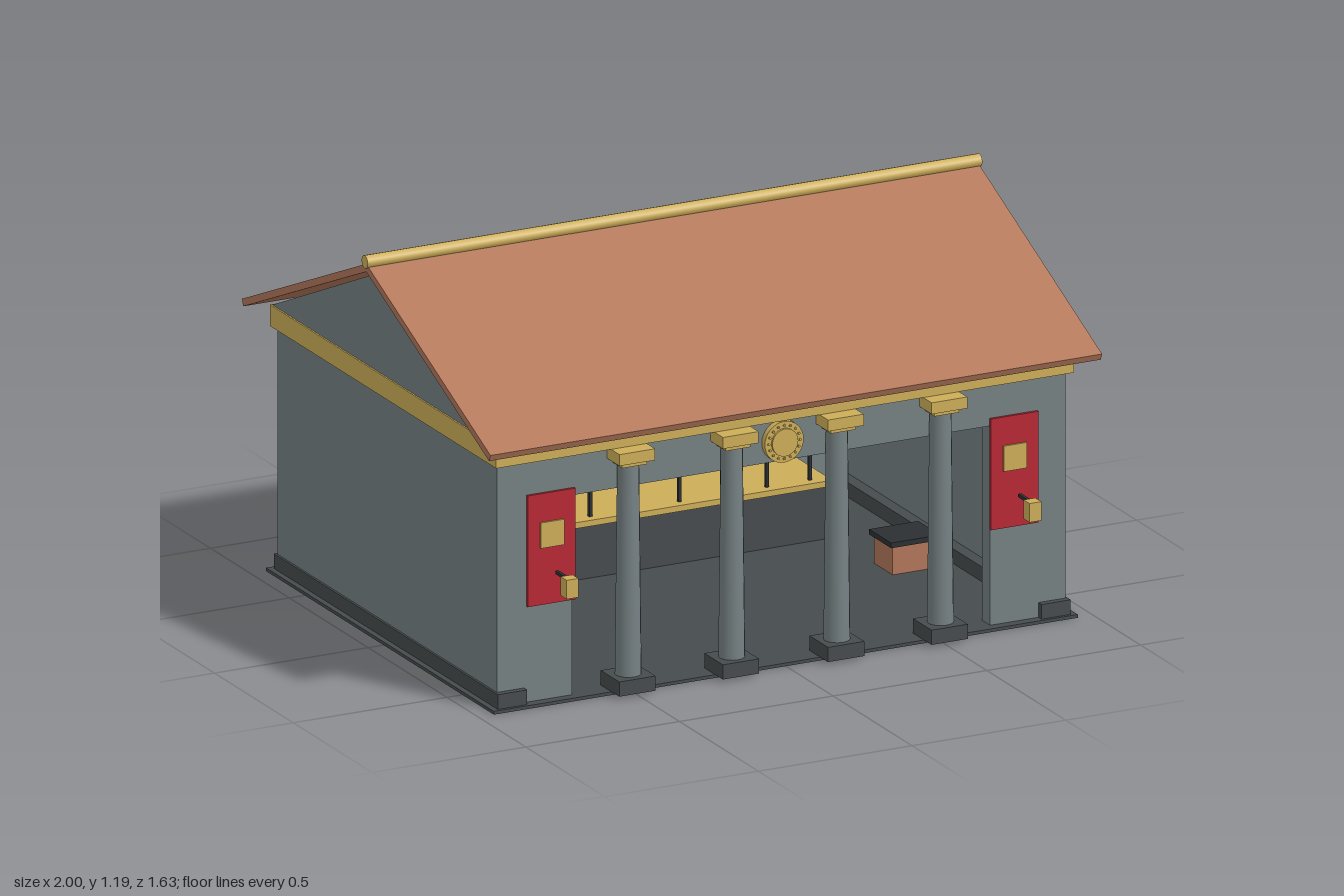
import * as THREE from 'three';

const mat = (name, color) => {
  const m = new THREE.MeshStandardMaterial({ color });
  m.name = name;
  return m;
};

export function createModel() {
  const model = new THREE.Group();
  model.name = 'treasuryHall';
  const stone = mat('grey stone', 0x768183);
  const dark = mat('dark stone', 0x464b4d);
  const iron = mat('black iron', 0x2b2f32);
  const gold = mat('gold', 0xcdae58);
  const clay = mat('terracotta', 0xb3775a);
  const red = mat('red cloth', 0xb92834);

  const add = (name, geometry, material, x = 0, y = 0, z = 0) => {
    const mesh = new THREE.Mesh(geometry, material);
    mesh.name = name;
    mesh.position.set(x, y, z);
    model.add(mesh);
    return mesh;
  };
  // box given by its lower and upper limits on each axis
  const box = (name, material, x0, x1, y0, y1, z0, z1) =>
    add(name, new THREE.BoxGeometry(x1 - x0, y1 - y0, z1 - z0), material,
      (x0 + x1) / 2, (y0 + y1) / 2, (z0 + z1) / 2);
  // disc whose axis runs along z
  const disc = (name, material, r, depth, x, y, z, sides = 32) => {
    const g = new THREE.CylinderGeometry(r, r, depth, sides);
    g.rotateX(Math.PI / 2);
    return add(name, g, material, x, y, z);
  };

  // floor, back wall, header over the open front
  box('floor', dark, -0.95, 0.95, 0, 0.01, -0.745, 0.70);
  box('backWall', stone, -0.925, 0.925, 0.01, 0.75, -0.72, -0.67);
  box('header', stone, -0.68, 0.68, 0.62, 0.75, 0.62, 0.67);
  box('entablature', gold, -0.94, 0.94, 0.75, 0.815, -0.74, 0.695);

  // gabled attic
  const tri = new THREE.Shape();
  tri.moveTo(-0.69, 0.815);
  tri.lineTo(0.735, 0.815);
  tri.lineTo(0.022, 1.135);
  tri.closePath();
  const attic = new THREE.ExtrudeGeometry(tri, { depth: 1.87, bevelEnabled: false });
  attic.rotateY(Math.PI / 2);
  add('gable', attic, stone, -0.935, 0, 0);

  // roof slopes and ridge
  const pitch = Math.atan2(0.346, 0.787);
  for (const s of [1, -1]) {
    const slope = add('roofSlope', new THREE.BoxGeometry(1.99, 0.022, 0.86), clay,
      0, 0.983, -0.022 + s * 0.39);
    slope.rotation.x = s * pitch;
  }
  const ridge = new THREE.CylinderGeometry(0.02, 0.02, 2, 12);
  ridge.rotateZ(Math.PI / 2);
  add('ridge', ridge, gold, 0, 1.173, -0.022);

  // columns with plinths and stepped capitals
  for (const x of [-0.508, -0.171, 0.171, 0.508]) {
    box('columnBase', dark, x - 0.059, x + 0.059, 0.01, 0.055, 0.631, 0.749);
    add('columnShaft', new THREE.CylinderGeometry(0.032, 0.039, 0.65, 16), stone, x, 0.38, 0.69);
    box('capitalNeck', gold, x - 0.04, x + 0.04, 0.70, 0.716, 0.65, 0.73);
    box('capital', gold, x - 0.058, x + 0.058, 0.715, 0.75, 0.632, 0.748);
  }

  // medallion over the entrance
  disc('medallion', gold, 0.063, 0.02, 0, 0.683, 0.68);
  disc('medallionCentre', gold, 0.042, 0.008, 0, 0.683, 0.693);
  for (let i = 0; i < 16; i++) {
    const a = i * Math.PI / 8;
    disc('medallionStud', gold, 0.004, 0.006, 0.051 * Math.cos(a), 0.683 + 0.051 * Math.sin(a), 0.691, 6);
  }

  // mirrored walls, banners, lanterns and railings
  for (const s of [1, -1]) {
    const side = (name, m, x0, x1, ...r) =>
      s > 0 ? box(name, m, x0, x1, ...r) : box(name, m, -x1, -x0, ...r);
    side('sideWall', stone, 0.875, 0.925, 0.01, 0.75, -0.67, 0.62);
    side('frontPier', stone, 0.68, 0.925, 0.01, 0.75, 0.62, 0.67);
    side('sidePlinth', dark, 0.837, 0.932, 0.01, 0.055, -0.73, 0.69);
    side('banner', red, 0.676, 0.831, 0.305, 0.645, 0.674, 0.683);
    side('bannerEmblem', gold, 0.715, 0.791, 0.48, 0.558, 0.683, 0.689);
    side('lanternArm', iron, 0.748, 0.758, 0.405, 0.415, 0.715, 0.785);
    side('lantern', gold, 0.734, 0.772, 0.36, 0.418, 0.777, 0.815);
    side('wallLamp', gold, 0.324, 0.356, 0.497, 0.547, -0.67, -0.64);
    side('rail', iron, 0.135, 0.587, 0.313, 0.325, -0.265, -0.253);
    for (const x of [0.145, 0.285, 0.43, 0.57])
      side('railPost', iron, x - 0.005, x + 0.005, 0.19, 0.315, -0.264, -0.254);
    side('deskTop', iron, 0.2, 0.335, 0.245, 0.26, -0.5, -0.42);
    side('deskLeg', iron, 0.275, 0.293, 0.19, 0.245, -0.47, -0.45);
  }

  // raised platform with gold edging
  box('platform', dark, -0.615, 0.615, 0.01, 0.172, -0.67, -0.235);
  box('platformEdge', gold, -0.627, 0.627, 0.172, 0.19, -0.67, -0.225);

  // round vault door
  const cy = 0.335;
  disc('vaultFrame', dark, 0.187, 0.05, 0, cy, -0.645, 40);
  disc('vaultDoor', gold, 0.152, 0.04, 0, cy, -0.61, 40);
  for (let i = 0; i < 8; i++) {
    const a = i * Math.PI / 4;
    const spoke = add('vaultSpoke', new THREE.BoxGeometry(0.085, 0.018, 0.015), iron,
      0.063 * Math.cos(a), cy + 0.063 * Math.sin(a), -0.583);
    spoke.rotation.z = a;
    const b = a + Math.PI / 4;
    disc('vaultBolt', gold, 0.011, 0.02, 0.17 * Math.cos(b), cy + 0.17 * Math.sin(b), -0.615, 10);
  }
  disc('vaultHub', gold, 0.027, 0.03, 0, cy, -0.575, 20);

  // brick hearth with plate, and a capped stump
  box('hearth', clay, -0.80, -0.54, 0.01, 0.14, 0, 0.15);
  box('hearthPlate', dark, -0.75, -0.62, 0.14, 0.152, 0.03, 0.12);
  box('stump', clay, 0.635, 0.775, 0.01, 0.096, 0.02, 0.14);
  box('stumpCap', iron, 0.625, 0.785, 0.096, 0.112, 0.01, 0.15);

  return model;
}
